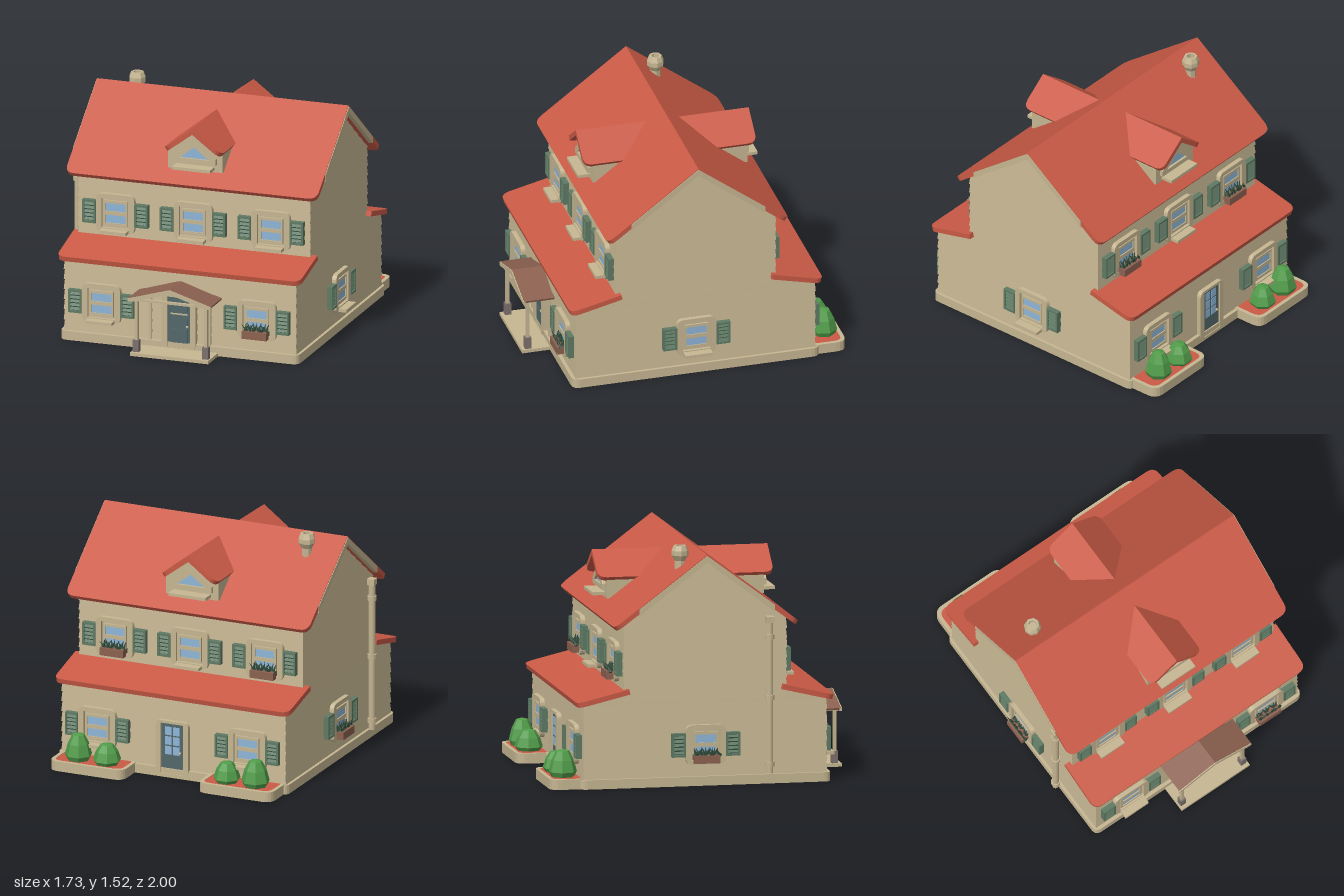
import * as THREE from 'three';

const mat = (name, color) => Object.assign(new THREE.MeshStandardMaterial({ color }), { name });
const M = {
  wall: mat('beige', 0xc6b692), roof: mat('red tile', 0xca5a46), glass: mat('glass', 0x8fb6d8),
  shutter: mat('shutter green', 0x5f7a64), dark: mat('dark green', 0x34503e), door: mat('door slate', 0x52686a),
  brown: mat('brown', 0x8c6150), stone: mat('grey stone', 0x7c706c), bush: mat('bush green', 0x519c4a),
};

function add(parent, name, geo, material, x = 0, y = 0, z = 0) {
  const m = new THREE.Mesh(geo, material);
  m.name = name;
  m.position.set(x, y, z);
  parent.add(m);
  return m;
}
function group(parent, name, x = 0, y = 0, z = 0, ry = 0) {
  const g = new THREE.Group();
  g.name = name;
  g.position.set(x, y, z);
  g.rotation.y = ry;
  parent.add(g);
  return g;
}
const box = (w, h, d) => new THREE.BoxGeometry(w, h, d);
const poly = (pts) => new THREE.Shape(pts.map(([x, y]) => new THREE.Vector2(x, y)));
const extrude = (shape, depth) => new THREE.ExtrudeGeometry(shape, { depth, bevelEnabled: false, curveSegments: 5 });
const rect = (w, h, x = 0, y = 0) =>
  poly([[x - w / 2, y - h / 2], [x + w / 2, y - h / 2], [x + w / 2, y + h / 2], [x - w / 2, y + h / 2]]);
function roundRect(w, h, r) {
  const a = w / 2, b = h / 2, s = new THREE.Shape();
  s.moveTo(-a + r, -b).lineTo(a - r, -b).quadraticCurveTo(a, -b, a, -b + r).lineTo(a, b - r);
  s.quadraticCurveTo(a, b, a - r, b).lineTo(-a + r, b).quadraticCurveTo(-a, b, -a, b - r);
  s.lineTo(-a, -b + r).quadraticCurveTo(-a, -b, -a + r, -b);
  return s;
}
function withHoles(shape, ...holes) {
  shape.holes.push(...holes);
  return shape;
}
function flatLathe(pts, sides) {
  const g = new THREE.LatheGeometry(pts.map(([x, y]) => new THREE.Vector2(x, y)), sides).toNonIndexed();
  g.computeVertexNormals();
  return g;
}

// Sloping roof plate: top edge at the origin, falling towards +z, rounded eave corners
function roofSlab(halfW, run, rise, t, r) {
  const L = Math.hypot(run, rise), s = new THREE.Shape();
  s.moveTo(halfW, 0).lineTo(-halfW, 0).lineTo(-halfW, -L + r).quadraticCurveTo(-halfW, -L, -halfW + r, -L);
  s.lineTo(halfW - r, -L).quadraticCurveTo(halfW, -L, halfW, -L + r).lineTo(halfW, 0);
  return extrude(s, t).translate(0, 0, -t).rotateX(-Math.atan2(run, rise));
}

// One course of siding round the house, its lower edge stepping outwards
function board(y0, y1, hx, z0, z1) {
  const g = box(2, 1, 2), p = g.attributes.position, lip = 0.006;
  for (let i = 0; i < p.count; i++) {
    const low = p.getY(i) < 0, e = low ? lip : 0;
    p.setXYZ(i, p.getX(i) * (hx + e), low ? y0 : y1, p.getZ(i) * ((low ? z0 : z1) + e));
  }
  g.computeVertexNormals();
  return g;
}

function flowerBox(parent, y) {
  const g = group(parent, 'flowerBox', 0, y, 0.04);
  add(g, 'planterBox', box(0.165, 0.05, 0.07), M.brown);
  for (let i = 0; i < 18; i++) {
    const leaf = add(g, 'leaf', new THREE.ConeGeometry(0.011, 0.065, 4), M.dark,
      -0.072 + (i % 9) * 0.018, 0.046, i < 9 ? -0.015 : 0.018);
    leaf.rotation.set(i < 9 ? -0.2 : 0.35, 0, Math.sin(i * 2.3) * 0.6);
  }
}

// Shuttered window facing +z with the wall at z = 0
function windowUnit(parent, x, y, z, ry, flowers) {
  const g = group(parent, 'window', x, y, z, ry);
  add(g, 'windowSurround', extrude(withHoles(roundRect(0.26, 0.255, 0.045), rect(0.185, 0.195)), 0.03), M.wall);
  add(g, 'windowBacking', box(0.2, 0.21, 0.012), M.wall, 0, 0, 0.004);
  add(g, 'sash', extrude(withHoles(rect(0.16, 0.165), rect(0.135, 0.053, 0, 0.038), rect(0.135, 0.053, 0, -0.04)), 0.022), M.wall);
  for (const py of [0.038, -0.04]) add(g, 'pane', box(0.135, 0.053, 0.006), M.glass, 0, py, 0.012);
  if (flowers) flowerBox(g, -0.09);
  else add(g, 'sill', box(0.18, 0.02, 0.085), M.wall, 0, -0.114, 0.0425);
  for (const s of [-1, 1]) {
    const sh = group(g, 'shutter', s * 0.176, 0, 0);
    add(sh, 'shutterFrame', extrude(withHoles(rect(0.09, 0.152), rect(0.064, 0.126)), 0.036), M.shutter);
    add(sh, 'shutterBack', box(0.07, 0.13, 0.012), M.dark, 0, 0, 0.012);
    for (let i = 0; i < 5; i++)
      add(sh, 'slat', box(0.064, 0.018, 0.006), M.shutter, 0, -0.05 + i * 0.025, 0.026).rotation.x = -0.45;
  }
}

function door(parent, z, ry, glazed) {
  const g = group(parent, 'door', 0, 0, z, ry);
  add(g, 'doorSurround', extrude(withHoles(roundRect(0.23, 0.36, 0.04), rect(0.157, 0.335, 0, -0.005)), 0.03), M.wall, 0, 0.2, 0);
  add(g, 'doorLeaf', box(0.157, 0.335, 0.014), M.door, 0, 0.195, 0.009);
  add(g, 'knob', new THREE.SphereGeometry(0.009, 8, 6), M.wall, 0.055, 0.17, 0.024);
  if (glazed) {
    for (let i = 0; i < 6; i++)
      add(g, 'doorPane', box(0.045, 0.055, 0.006), M.glass, i % 2 ? 0.028 : -0.028, 0.18 + (i >> 1) * 0.065, 0.016);
  } else {
    for (const [h, y] of [[0.075, 0.305], [0.045, 0.2], [0.1, 0.1]])
      add(g, 'doorPanel', box(0.115, h, 0.008), M.door, 0, y, 0.019);
    add(g, 'doorRail', box(0.115, 0.008, 0.008), M.wall, 0, 0.25, 0.019);
  }
}

function dormer(parent, ry) {
  const g = group(parent, 'dormer', 0, 0, 0, ry);
  add(g, 'dormerWall', extrude(poly([[-0.185, 1.12], [0.185, 1.12], [0.185, 1.24], [0, 1.38], [-0.185, 1.24]]), 0.41), M.wall, 0, 0, 0.1);
  for (const s of [-1, 1])
    add(g, 'dormerRoof', roofSlab(0.26, 0.2, 0.15, 0.03, 0.06), M.roof, 0, 1.41, 0.31).rotation.y = s * Math.PI / 2;
  const frame = poly([[-0.145, 1.17], [0.145, 1.17], [0.145, 1.21], [0, 1.33], [-0.145, 1.21]]);
  const tri = () => poly([[-0.1, 1.2], [0.1, 1.2], [0, 1.277]]);
  add(g, 'dormerFrame', extrude(withHoles(frame, tri()), 0.025), M.wall, 0, 0, 0.508);
  add(g, 'dormerPane', extrude(tri(), 0.006), M.glass, 0, 0, 0.511);
  add(g, 'dormerSill', box(0.26, 0.02, 0.085), M.wall, 0, 1.145, 0.55);
}

function porch(parent) {
  const g = group(parent, 'porch');
  add(g, 'porchDeck', box(0.53, 0.022, 0.2), M.wall, 0, 0.011, 0.898);
  for (const s of [-1, 1]) {
    add(g, 'pedestal', box(0.04, 0.08, 0.04), M.stone, s * 0.235, 0.06, 0.955);
    add(g, 'post', box(0.022, 0.27, 0.022), M.wall, s * 0.235, 0.235, 0.955);
    add(g, 'pilaster', box(0.02, 0.34, 0.02), M.wall, s * 0.2, 0.19, 0.795);
    add(g, 'sideBeam', box(0.02, 0.016, 0.19), M.wall, s * 0.235, 0.365, 0.88);
    add(g, 'porchRoof', roofSlab(0.105, 0.28, 0.085, 0.014, 0.002), M.brown, 0, 0.465, 0.885).rotation.y = s * Math.PI / 2;
  }
  add(g, 'tieBeam', box(0.49, 0.016, 0.018), M.wall, 0, 0.365, 0.955);
  add(g, 'porchGable', extrude(poly([[-0.28, 0.36], [-0.25, 0.36], [0, 0.435], [0.25, 0.36], [0.28, 0.36], [0.28, 0.379], [0, 0.463], [-0.28, 0.379]]), 0.016), M.wall, 0, 0, 0.98);
}

function planter(parent, s) {
  const g = group(parent, 'planter', s * 0.52, 0, -0.87);
  add(g, 'planterRim', extrude(withHoles(roundRect(0.52, 0.26, 0.07), roundRect(0.47, 0.21, 0.055)), 0.065).rotateX(-Math.PI / 2), M.wall);
  add(g, 'soil', extrude(roundRect(0.475, 0.215, 0.055), 0.062).rotateX(-Math.PI / 2), M.roof);
  for (const [x, h, r] of [[0.1, s > 0 ? 0.18 : 0.14, 0.088], [-0.1, s > 0 ? 0.14 : 0.18, 0.092]])
    add(g, 'bush', flatLathe([[0, 0], [r * 0.8, 0], [r, h * 0.2], [r * 0.78, h * 0.62], [r * 0.45, h * 0.94], [0, h]], 7), M.bush, x, 0.058, -0.02);
}

export function createModel() {
  const house = new THREE.Group();
  house.name = 'house';

  // Foundation and siding of the wide lower floor
  add(house, 'foundation', extrude(roundRect(1.612, 1.63, 0.05), 0.06).rotateX(-Math.PI / 2), M.wall);
  const hx = 0.781;
  for (let i = 0, h = 0.47 / 7; i < 7; i++)
    add(house, 'lowerSiding', board(0.06 + i * h, 0.06 + (i + 1) * h, hx, 0.786, 0.786), M.wall);
  add(house, 'lowerTop', board(0.53, 0.6, hx, 0.786, 0.5), M.wall);

  // Narrower upper floor and its gables
  for (let i = 0, h = 0.508 / 8; i < 8; i++)
    add(house, 'upperSiding', board(0.55 + i * h, 0.55 + (i + 1) * h, hx, 0.525, 0.525), M.wall);
  for (let i = 0, h = 0.394 / 6; i < 6; i++)
    add(house, 'gableSiding', board(1.058 + i * h, 1.058 + (i + 1) * h, hx, 0.525 * (1 - i / 6), 0.525 * (1 - (i + 1) / 6)), M.wall);

  // Roofs, dormers and bargeboards
  for (const ry of [0, Math.PI]) {
    const side = group(house, 'roofSide', 0, 0, 0, ry);
    add(side, 'mainRoof', roofSlab(0.85, 0.6, 0.45, 0.03, 0.06), M.roof, 0, 1.492, 0);
    add(side, 'lowerRoof', roofSlab(0.822, 0.335, 0.08, 0.033, 0.06), M.roof, 0, 0.638, 0.5);
    dormer(house, ry);
  }
  const barge = [[0, 1.486], [-0.44, 1.156], [-0.44, 1.112], [0, 1.442], [0.44, 1.112], [0.44, 1.156]];
  for (const s of [-1, 1])
    add(house, 'bargeboard', extrude(poly(barge), 0.03).translate(0, 0, -0.015).rotateY(Math.PI / 2), M.wall, s * 0.839, 0, 0);

  // Windows on all four sides
  for (const x of [-0.525, 0, 0.525]) {
    windowUnit(house, x, 0.787, 0.528, 0, false);
    windowUnit(house, x, 0.787, -0.528, Math.PI, x !== 0);
    if (x) {
      windowUnit(house, x, 0.265, 0.79, 0, x > 0);
      windowUnit(house, x, 0.265, -0.79, Math.PI, false);
    }
  }
  windowUnit(house, 0.784, 0.265, 0, Math.PI / 2, false);
  windowUnit(house, -0.784, 0.265, 0, -Math.PI / 2, true);

  // Doors, porch and planters
  door(house, 0.79, 0, false);
  door(house, -0.79, Math.PI, true);
  porch(house);
  for (const s of [-1, 1]) planter(house, s);

  // Chimney pot
  add(house, 'chimney', flatLathe([[0.034, 0], [0.034, 0.075], [0.055, 0.11], [0.055, 0.14], [0.042, 0.172], [0.026, 0.172], [0.026, 0.14], [0, 0.14]], 8), M.wall, -0.625, 1.35, -0.13);

  // Drainpipe with collars
  const pipe = group(house, 'drainpipe', -0.83, 0, 0.41);
  add(pipe, 'pipe', new THREE.CylinderGeometry(0.022, 0.022, 1.01, 10), M.wall, 0, 0.575, 0);
  for (const y of [0.13, 0.56, 0.95]) add(pipe, 'collar', new THREE.CylinderGeometry(0.03, 0.03, 0.03, 10), M.wall, 0, y, 0);
  add(pipe, 'pipeHead', box(0.05, 0.04, 0.05), M.wall, 0, 1.06, 0);
  return house;
}
